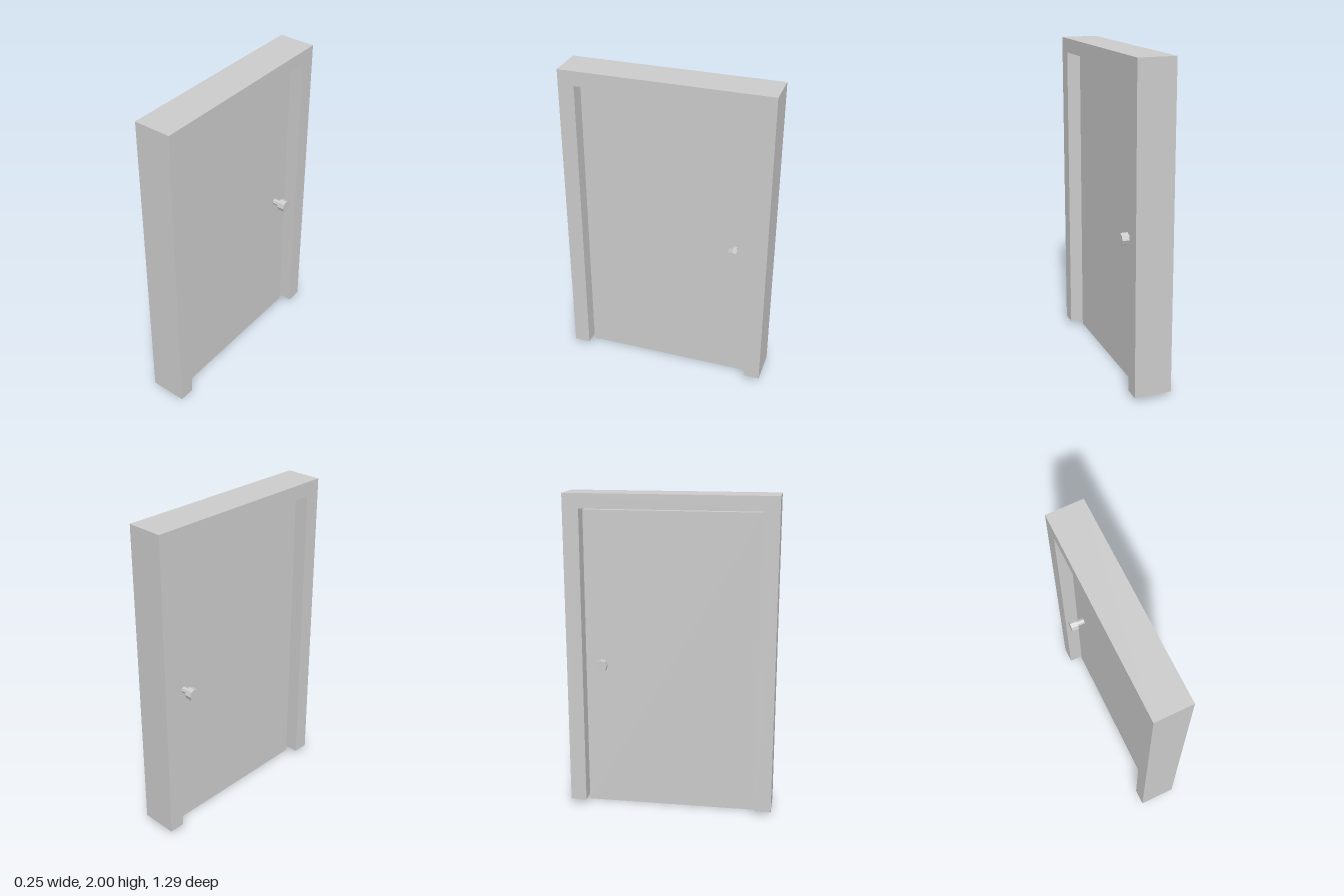
import * as THREE from 'three';

export function createModel() {
  const group = new THREE.Group();
  const mat = new THREE.MeshStandardMaterial({ color: 0xcccccc, flatShading: true });
  const add = (name, geometry, x = 0, y = 0, z = 0) => {
    const mesh = new THREE.Mesh(geometry, mat);
    mesh.name = name;
    mesh.position.set(x, y, z);
    group.add(mesh);
    return mesh;
  };

  // Door frame: an upside-down U extruded through the wall thickness
  const depth = 0.23, outer = 0.647, inner = 0.547, bottom = 0.03, lintel = 1.91;
  const outline = [
    [-outer, bottom], [-inner, bottom], [-inner, lintel], [inner, lintel],
    [inner, bottom], [outer, bottom], [outer, 2], [-outer, 2],
  ].map(([x, y]) => new THREE.Vector2(x, y));
  const frame = new THREE.ExtrudeGeometry(new THREE.Shape(outline), { depth, bevelEnabled: false });
  frame.translate(0, 0, -depth / 2).rotateY(Math.PI / 2);
  add('frame', frame);

  // Door panel, hanging slightly below the frame
  const panelHeight = 1.895;
  add('doorPanel', new THREE.BoxGeometry(0.06, panelHeight, 1.088), 0, panelHeight / 2, 0);

  // Knob on each face: thin stem and eight-sided grip
  for (const [side, label] of [[1, 'left'], [-1, 'right']]) {
    const stem = new THREE.CylinderGeometry(0.02, 0.02, 0.06, 8).rotateZ(Math.PI / 2);
    const grip = new THREE.CylinderGeometry(0.038, 0.038, 0.045, 8).rotateZ(Math.PI / 2);
    add(label + 'KnobStem', stem, side * 0.055, 0.94, -0.43);
    add(label + 'KnobGrip', grip, side * 0.1025, 0.94, -0.43);
  }
  return group;
}
